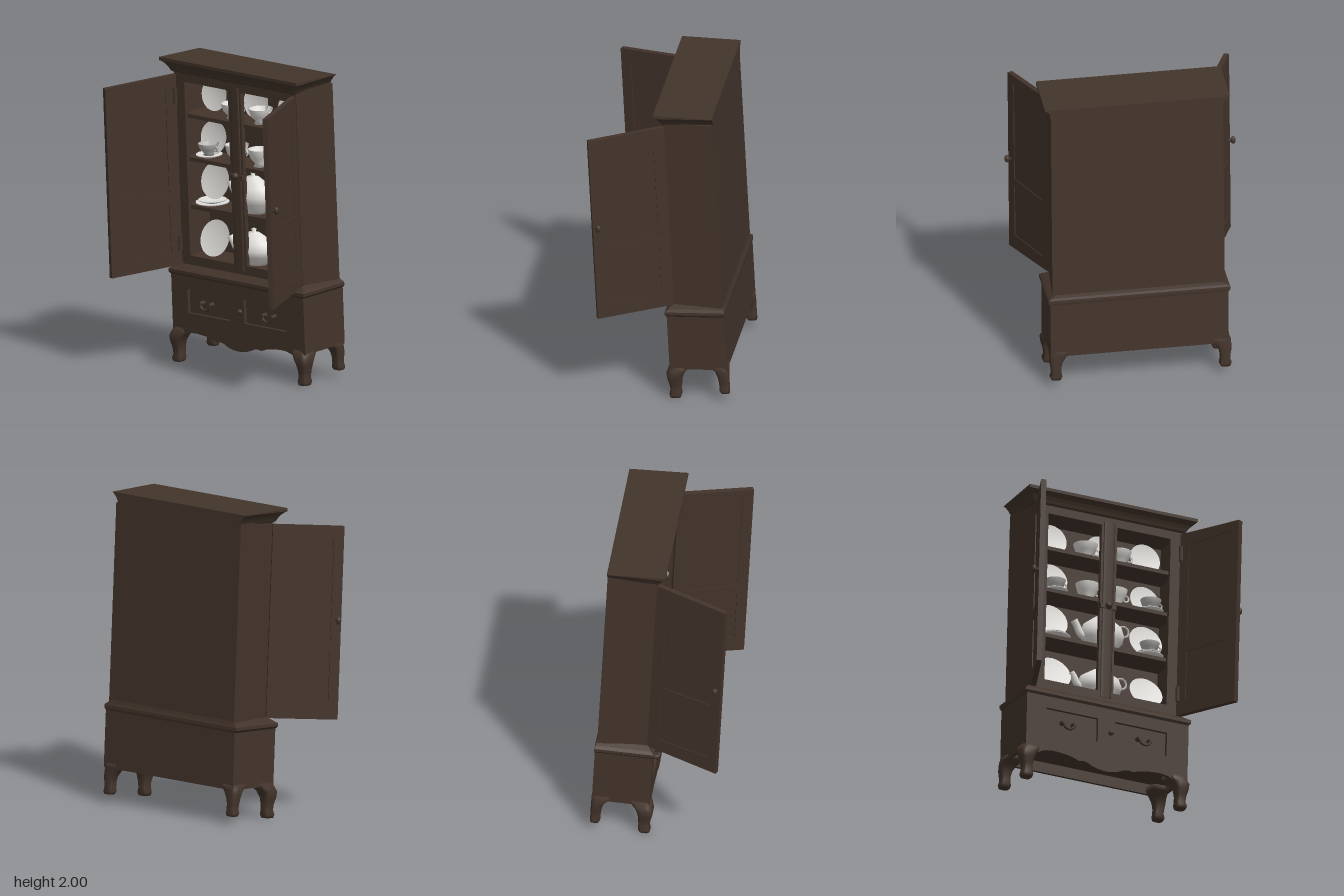
import * as THREE from 'three';

const wood = new THREE.MeshStandardMaterial({ color: 0x43342b });
wood.name = 'dark wood';
const china = new THREE.MeshStandardMaterial({ color: 0xe0deda });
china.name = 'white china';
const shadeChina = new THREE.MeshStandardMaterial({ color: 0xb8b6b3 });
shadeChina.name = 'grey china';

function add(parent, name, geo, mat, x = 0, y = 0, z = 0) {
  const m = new THREE.Mesh(geo, mat);
  m.name = name;
  m.position.set(x, y, z);
  parent.add(m);
  return m;
}

// box given by its limits
function box(parent, name, x0, x1, y0, y1, z0, z1) {
  return add(parent, name, new THREE.BoxGeometry(x1 - x0, y1 - y0, z1 - z0), wood,
    (x0 + x1) / 2, (y0 + y1) / 2, (z0 + z1) / 2);
}

// loft through sections [y, x0, x1, z0, z1, slant]; power 0 gives rectangles
function loft(sections, n = 4, power = 0) {
  const pos = [], idx = [];
  for (const [y, x0, x1, z0, z1, slant = 0] of sections) {
    for (let j = 0; j < n; j++) {
      const a = ((j + 0.5) / n) * Math.PI * 2, c = Math.cos(a), s = Math.sin(a);
      const z = (z0 + z1) / 2 + Math.sign(s) * Math.abs(s) ** power * Math.abs(z1 - z0) / 2;
      const x = (x0 + x1) / 2 + Math.sign(c) * Math.abs(c) ** power * Math.abs(x1 - x0) / 2;
      pos.push(x, y + slant * (z - Math.max(z0, z1)), z);
    }
  }
  const last = (sections.length - 1) * n;
  for (let i = 0; i < last; i += n) {
    for (let j = 0; j < n; j++) {
      const k = (j + 1) % n;
      idx.push(i + j, i + n + j, i + k, i + k, i + n + j, i + n + k);
    }
  }
  for (let j = 1; j < n - 1; j++) idx.push(0, j, j + 1, last, last + j + 1, last + j);
  let g = new THREE.BufferGeometry();
  g.setAttribute('position', new THREE.Float32BufferAttribute(pos, 3));
  g.setIndex(idx);
  if (!power) g = g.toNonIndexed();
  g.computeVertexNormals();
  return g;
}

const outline = (pts) => new THREE.Shape(pts.map(([x, y]) => new THREE.Vector2(x, y)));
const rect = (x0, x1, y0, y1) => outline([[x0, y0], [x1, y0], [x1, y1], [x0, y1]]);

// flat board with rectangular openings
function pierced(shape, holes, depth) {
  for (const h of holes) shape.holes.push(rect(...h));
  return new THREE.ExtrudeGeometry(shape, { depth, bevelEnabled: false, curveSegments: 8 });
}

const lathe = (pts) => new THREE.LatheGeometry(pts.map(([x, y]) => new THREE.Vector2(x, y)), 28);

function plate(parent, x, y, r, z, tilt) {
  const m = add(parent, 'plate', lathe([[0, 0], [r * 0.6, 0], [r, 0.016], [r, 0.022], [r * 0.65, 0.008], [0, 0.008]]),
    china, x, y + r * Math.cos(tilt), z);
  m.rotation.x = Math.PI / 2 - tilt;
}

function saucer(parent, x, y, r, z) {
  add(parent, 'saucer', lathe([[0, 0], [r * 0.5, 0], [r, 0.016], [r, 0.022], [0, 0.01]]), china, x, y, z);
}

function cup(parent, x, y, r, h, z, mat) {
  const g = new THREE.Group();
  g.name = 'cup';
  g.position.set(x, y, z);
  parent.add(g);
  add(g, 'cupBowl', lathe([[0, 0], [r * 0.55, 0], [r * 0.42, h * 0.18], [r * 0.8, h * 0.5], [r, h],
    [r * 0.92, h], [r * 0.72, h * 0.52], [0, h * 0.3]]), mat);
  add(g, 'cupHandle', new THREE.TorusGeometry(h * 0.18, 0.006, 6, 14), mat, r * 0.95, h * 0.62);
}

function teapot(parent, x, y, r, h) {
  const g = new THREE.Group();
  g.name = 'teapot';
  g.position.set(x, y, -0.24);
  parent.add(g);
  add(g, 'teapotBody', lathe([[0, 0], [r * 0.6, 0], [r * 0.62, h * 0.06], [r * 0.93, h * 0.25], [r, h * 0.42],
    [r * 0.88, h * 0.62], [r * 0.5, h * 0.78], [r * 0.3, h * 0.86], [r * 0.08, h * 0.89], [r * 0.14, h * 0.96], [0, h]])
    .scale(1, 1, 0.72), china);
  const spout = new THREE.CatmullRomCurve3([[-0.7, 0.22], [-1.05, 0.34], [-1.2, 0.5], [-1.36, 0.64]]
    .map(([a, b]) => new THREE.Vector3(a * r, b * h, 0)));
  add(g, 'spout', new THREE.TubeGeometry(spout, 12, 0.024, 10), china);
  add(g, 'teapotHandle', new THREE.TorusGeometry(0.036, 0.008, 8, 22), shadeChina, r * 1.02, h * 0.6);
}

export function createModel() {
  const root = new THREE.Group();
  root.name = 'chinaCabinet';
  const cab = new THREE.Group();
  cab.name = 'cabinet';
  cab.rotation.set(0.052, -0.012, 0); // the whole piece leans slightly forward
  root.add(cab);

  // upper case: sides and back in one shell, wider at the back
  const shell = outline([[-0.557, 0.44], [-0.53, 0.125], [-0.475, 0.125], [-0.475, 0.35],
    [0.475, 0.35], [0.475, 0.125], [0.53, 0.125], [0.557, 0.44]]);
  add(cab, 'caseShell', pierced(shell, [], 1.31).rotateX(-Math.PI / 2), wood, 0, 0.605, 0);
  box(cab, 'caseTop', -0.5, 0.5, 1.86, 1.915, -0.43, -0.13);
  box(cab, 'caseFloor', -0.5, 0.5, 0.61, 0.69, -0.43, -0.13);
  const openings = [[-0.44, -0.06, 0.7, 1.845], [0.05, 0.43, 0.7, 1.845]];
  add(cab, 'faceFrame', pierced(rect(-0.525, 0.525, 0.61, 1.915), openings, 0.03), wood, 0, 0, -0.147);
  const levels = [0.69, 1.03, 1.345, 1.63];
  for (const y of levels.slice(1)) box(cab, 'shelf', -0.48, 0.48, y - 0.025, y, -0.36, -0.14);

  // centre stile with its bead and knob
  add(cab, 'centreStile', loft([[0.66, -0.045, 0.035, -0.13, -0.108], [1.87, -0.045, 0.035, -0.13, -0.108]], 12, 0.5), wood);
  add(cab, 'stileKnob', new THREE.SphereGeometry(0.024, 14, 10), wood, -0.005, 1.29, -0.1);
  box(cab, 'latchBar', -0.06, 0.05, 1.27, 1.3, -0.12, -0.102);

  // cornice with a hollow curve and a level top
  const cornice = [[1.9, 0.53, -0.117], [1.91, 0.54, -0.107], [1.93, 0.55, -0.1], [1.95, 0.564, -0.09],
    [1.968, 0.583, -0.075], [1.976, 0.598, -0.064], [1.997, 0.598, -0.064, 0.052]];
  add(cab, 'cornice', loft(cornice.map(([y, hx, zf, sl]) => [y, -hx - 0.005, hx - 0.005, -0.443, zf, sl])), wood);

  // lower case: carcass with a hollow underside, side and back aprons
  box(cab, 'baseCarcass', -0.578, 0.573, 0.27, 0.6, -0.45, -0.1);
  box(cab, 'backApron', -0.578, 0.573, 0.2, 0.28, -0.45, -0.43);
  for (const x of [-0.578, 0.553]) box(cab, 'sideApron', x, x + 0.02, 0.2, 0.28, -0.44, -0.1);

  // scalloped front with two drawer panels
  const front = new THREE.Shape();
  front.moveTo(-0.578, 0.595);
  front.lineTo(-0.578, 0.19);
  front.lineTo(-0.49, 0.17);
  front.quadraticCurveTo(-0.44, 0.21, -0.34, 0.2);
  front.quadraticCurveTo(-0.25, 0.195, -0.2, 0.17);
  front.quadraticCurveTo(-0.15, 0.185, -0.11, 0.155);
  front.quadraticCurveTo(-0.01, 0.12, 0.09, 0.155);
  front.quadraticCurveTo(0.14, 0.185, 0.19, 0.17);
  front.quadraticCurveTo(0.24, 0.195, 0.33, 0.2);
  front.quadraticCurveTo(0.43, 0.21, 0.48, 0.17);
  front.lineTo(0.573, 0.19);
  front.lineTo(0.573, 0.595);
  const drawers = [[-0.44, -0.07, 0.33, 0.49], [0.05, 0.42, 0.33, 0.49]];
  add(cab, 'baseFront', pierced(front, drawers, 0.025), wood, 0, 0, -0.103);
  const moulding = [[0.57, 0.575, -0.077, -0.45], [0.585, 0.588, -0.068, -0.453], [0.605, 0.588, -0.068, -0.453],
    [0.62, 0.57, -0.09, -0.447], [0.64, 0.535, -0.115, -0.442]];
  add(cab, 'baseMoulding', loft(moulding.map(([y, hx, zf, zb]) => [y, -hx - 0.003, hx - 0.003, zb, zf])), wood);

  // drop handles and the middle knob
  for (const cx of [-0.28, 0.26]) {
    const bail = add(cab, 'drawerHandle', new THREE.TorusGeometry(0.04, 0.009, 8, 16, Math.PI), wood, cx, 0.41, -0.066);
    bail.rotation.z = Math.PI;
    for (const s of [-1, 1]) {
      const post = add(cab, 'handlePost', new THREE.CylinderGeometry(0.012, 0.016, 0.045, 10), wood, cx + s * 0.04, 0.41, -0.08);
      post.rotation.x = Math.PI / 2;
    }
  }
  add(cab, 'drawerKnob', new THREE.SphereGeometry(0.018, 12, 10), wood, 0.02, 0.405, -0.07);

  // cabriole legs: [y, inner x, outer x, inner z, outer z] measured from the centre of the base
  const leg = [[0, 0.515, 0.58, 0.13, 0.198], [0.02, 0.507, 0.588, 0.122, 0.203], [0.05, 0.513, 0.578, 0.123, 0.196],
    [0.09, 0.513, 0.582, 0.12, 0.2], [0.13, 0.505, 0.594, 0.115, 0.21], [0.17, 0.485, 0.6, 0.1, 0.215],
    [0.2, 0.46, 0.59, 0.07, 0.204], [0.23, 0.45, 0.576, 0.05, 0.189]];
  for (const sx of [-1, 1]) {
    for (const sz of [-1, 1]) {
      const rings = leg.map(([y, a, b, c, d]) => [sz > 0 ? y - 0.006 : 0.03 + y * 0.88,
        sx * a - 0.01, sx * (sz > 0 ? b : Math.min(b, 0.588)) - 0.01,
        sz * c - 0.2665, sz * (sz > 0 ? d : Math.min(d, 0.188)) - 0.2665]);
      add(cab, sz > 0 ? 'frontLeg' : 'backLeg', loft(rings, 20, 0.6), wood);
    }
  }

  // panelled doors standing open, free ends sagging a little
  for (const s of [-1, 1]) {
    const door = new THREE.Group();
    door.name = s > 0 ? 'leftDoor' : 'rightDoor';
    door.position.set(s * 0.515 - 0.004, 0, -0.115);
    door.rotation.y = s > 0 ? -1.19 : Math.PI + 1.19;
    cab.add(door);
    const panels = [[0.075, 0.43, 0.715, 1.06], [0.075, 0.43, 1.12, 1.8]];
    const slab = outline([[0, 0.635], [0.5, 0.61], [0.5, 1.86], [0, 1.887]]);
    add(door, 'doorFrame', pierced(slab, panels, 0.034), wood, 0, 0, -0.017);
    for (const [x0, x1, y0, y1] of panels) {
      box(door, 'doorPanel', x0 - 0.01, x1 + 0.01, y0 - 0.01, y1 + 0.01, -0.011, 0.011);
    }
    const stem = add(door, 'knobStem', new THREE.CylinderGeometry(0.008, 0.012, 0.03, 10), wood, 0.47, 1.25, -s * 0.03);
    stem.rotation.x = Math.PI / 2;
    add(door, 'doorKnob', new THREE.SphereGeometry(0.017, 12, 10), wood, 0.47, 1.255, -s * 0.045).scale.y = 1.5;
    for (const y of [0.78, 1.75]) {
      add(door, 'hinge', new THREE.CylinderGeometry(0.016, 0.016, 0.1, 10), wood, 0.01, y, s * 0.015);
    }
  }

  // china on the shelves
  const dishes = new THREE.Group();
  dishes.name = 'dishes';
  cab.add(dishes);
  const [a, b, c, d] = levels;
  const plates = [[-0.322, a, 0.12, -0.245, 0.35], [0.335, a, 0.115, -0.245, 0.35],
    [-0.335, b + 0.03, 0.118, -0.28, 0.25], [0.34, b + 0.02, 0.115, -0.28, 0.25],
    [-0.335, c + 0.01, 0.108, -0.28, 0.2], [0.325, c, 0.102, -0.28, 0.2],
    [-0.335, d + 0.005, 0.106, -0.3, 0.15], [0.33, d + 0.005, 0.106, -0.3, 0.15], [0.02, d + 0.005, 0.104, -0.31, 0.15]];
  for (const p of plates) plate(dishes, ...p);
  teapot(dishes, 0.01, a, 0.15, 0.235);
  teapot(dishes, 0.02, b, 0.148, 0.27);
  saucer(dishes, -0.33, b, 0.108, -0.225);
  saucer(dishes, -0.33, b + 0.015, 0.09, -0.225);
  saucer(dishes, 0.34, b, 0.1, -0.22);
  saucer(dishes, 0.34, b + 0.02, 0.08, -0.22);
  cup(dishes, 0.345, b + 0.035, 0.065, 0.075, -0.21, shadeChina);
  for (const x of [-0.335, 0.345]) {
    saucer(dishes, x, c, 0.085, -0.215);
    cup(dishes, x, c + 0.012, 0.068, 0.08, -0.21, shadeChina);
  }
  for (const x of [-0.1, 0.1]) {
    cup(dishes, x, c, 0.078, 0.115, -0.225, china);
    cup(dishes, x * 1.2, d, 0.08, 0.1, -0.225, china);
  }
  return root;
}
